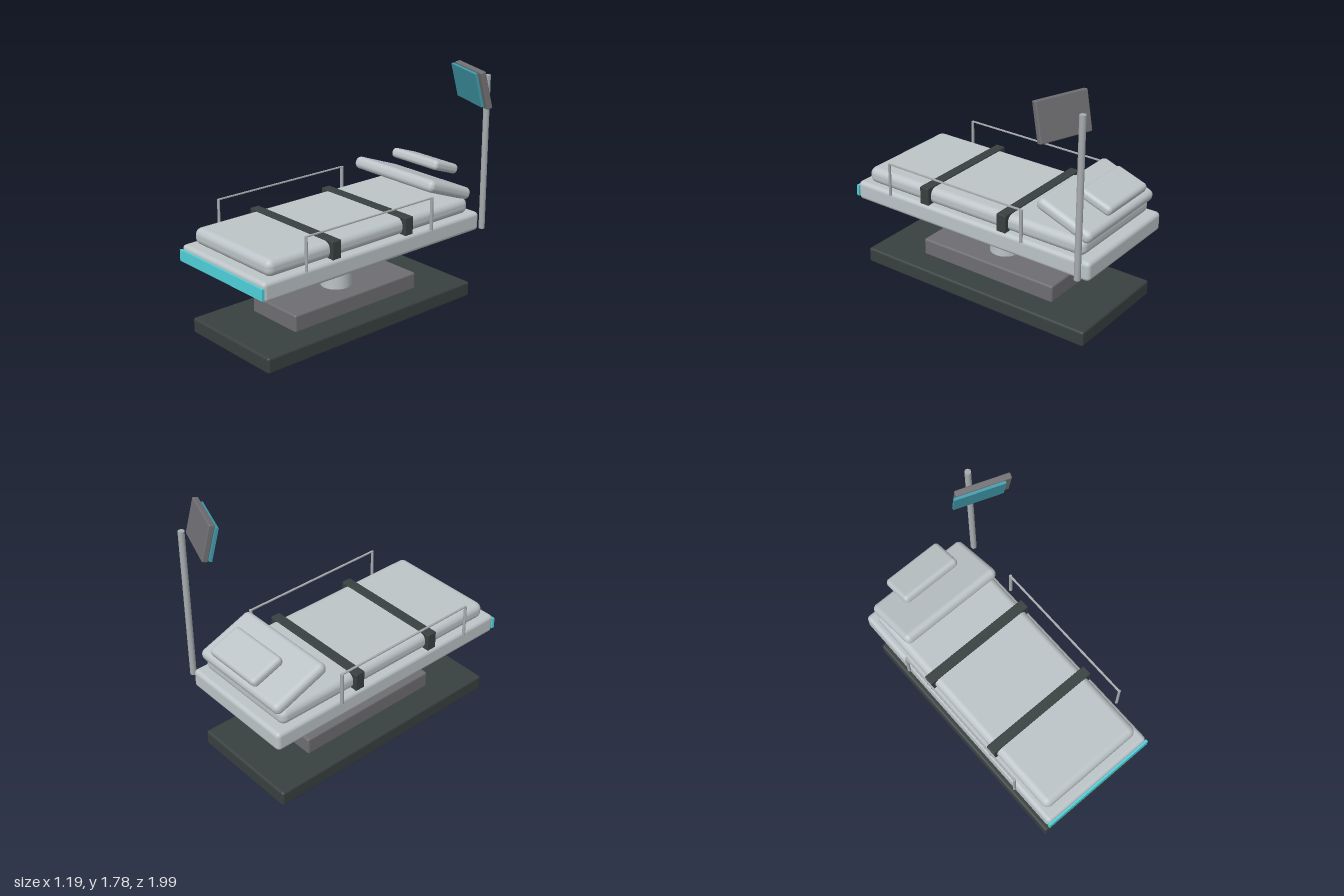
import * as THREE from 'three';
import { RoundedBoxGeometry } from 'three/addons/geometries/RoundedBoxGeometry.js';

const mat = (name, color) => {
  const m = new THREE.MeshStandardMaterial({ color });
  m.name = name;
  return m;
};

export function createModel() {
  const pale = mat('pale grey', 0xbcc4c7);
  const metal = mat('metal grey', 0xa6abae);
  const midGrey = mat('mid grey', 0x6e6e72);
  const dark = mat('dark slate', 0x384040);
  const cyan = mat('bright cyan', 0x4fd0da);
  const screenBlue = mat('screen teal', 0x3f98a8);

  const model = new THREE.Group();
  model.name = 'medicalBed';
  const midX = -0.12; // centre line of the bed

  const add = (parent, name, geometry, material, x, y, z) => {
    const mesh = new THREE.Mesh(geometry, material);
    mesh.name = name;
    mesh.position.set(x, y, z);
    parent.add(mesh);
    return mesh;
  };
  const rounded = (w, h, d, r) => new RoundedBoxGeometry(w, h, d, 4, r);

  // Pedestal
  add(model, 'base', rounded(0.84, 0.115, 1.88, 0.018), dark, midX, 0.0575, 0);
  add(model, 'plinth', rounded(0.465, 0.13, 1.125, 0.015), midGrey, midX, 0.17, 0);
  add(model, 'column', new THREE.CylinderGeometry(0.112, 0.112, 0.31, 32), pale, midX, 0.38, 0);

  // Bed frame, mattress and foot strip
  add(model, 'bedFrame', rounded(0.9, 0.14, 1.97, 0.03), pale, midX, 0.59, 0);
  add(model, 'mattress', rounded(0.82, 0.12, 1.83, 0.05), pale, midX, 0.715, 0);
  add(model, 'footStrip', new THREE.BoxGeometry(0.9, 0.08, 0.02), cyan, midX, 0.585, 0.99);

  // Tilted head section and pillow
  const backrest = add(model, 'backrest', rounded(0.805, 0.09, 0.445, 0.04), pale, midX, 0.862, -0.74);
  backrest.rotation.x = -0.36;
  const pillow = add(model, 'pillow', rounded(0.465, 0.072, 0.255, 0.03), pale, midX, 0.966, -0.868);
  pillow.rotation.x = -0.34;

  // Restraint straps
  for (const z of [0.372, -0.285]) {
    add(model, 'strap', rounded(0.88, 0.13, 0.074, 0.006), dark, midX, 0.72, z);
  }

  // Side rails
  for (const side of [-1, 1]) {
    const rail = new THREE.Group();
    rail.name = side > 0 ? 'leftRail' : 'rightRail';
    rail.position.x = midX + side * 0.469;
    model.add(rail);
    add(rail, 'rearPost', new THREE.CylinderGeometry(0.0125, 0.0125, 0.238, 10), metal, 0, 0.774, -0.47);
    const front = add(rail, 'frontPost', new THREE.CylinderGeometry(0.0115, 0.0125, 0.242, 10), metal, 0, 0.776, 0.656);
    front.scale.z = 0.75;
    const bar = add(rail, 'topBar', new THREE.BoxGeometry(0.014, 0.008, 1.125), metal, 0, 0.893, 0.095);
    bar.rotation.x = -0.004;
  }

  // Monitor on its pole
  add(model, 'monitorPole', new THREE.CylinderGeometry(0.022, 0.022, 1.125, 20), metal, 0.395, 1.1275, -0.942);
  const monitor = new THREE.Group();
  monitor.name = 'monitor';
  monitor.position.set(0.395, 1.645, -0.8);
  monitor.rotation.set(0.24, -0.35, 0, 'YXZ');
  model.add(monitor);
  add(monitor, 'monitorCase', rounded(0.383, 0.266, 0.042, 0.008), midGrey, 0, 0, 0);
  add(monitor, 'screen', new THREE.BoxGeometry(0.355, 0.24, 0.02), screenBlue, -0.032, 0.002, 0.03);

  return model;
}
